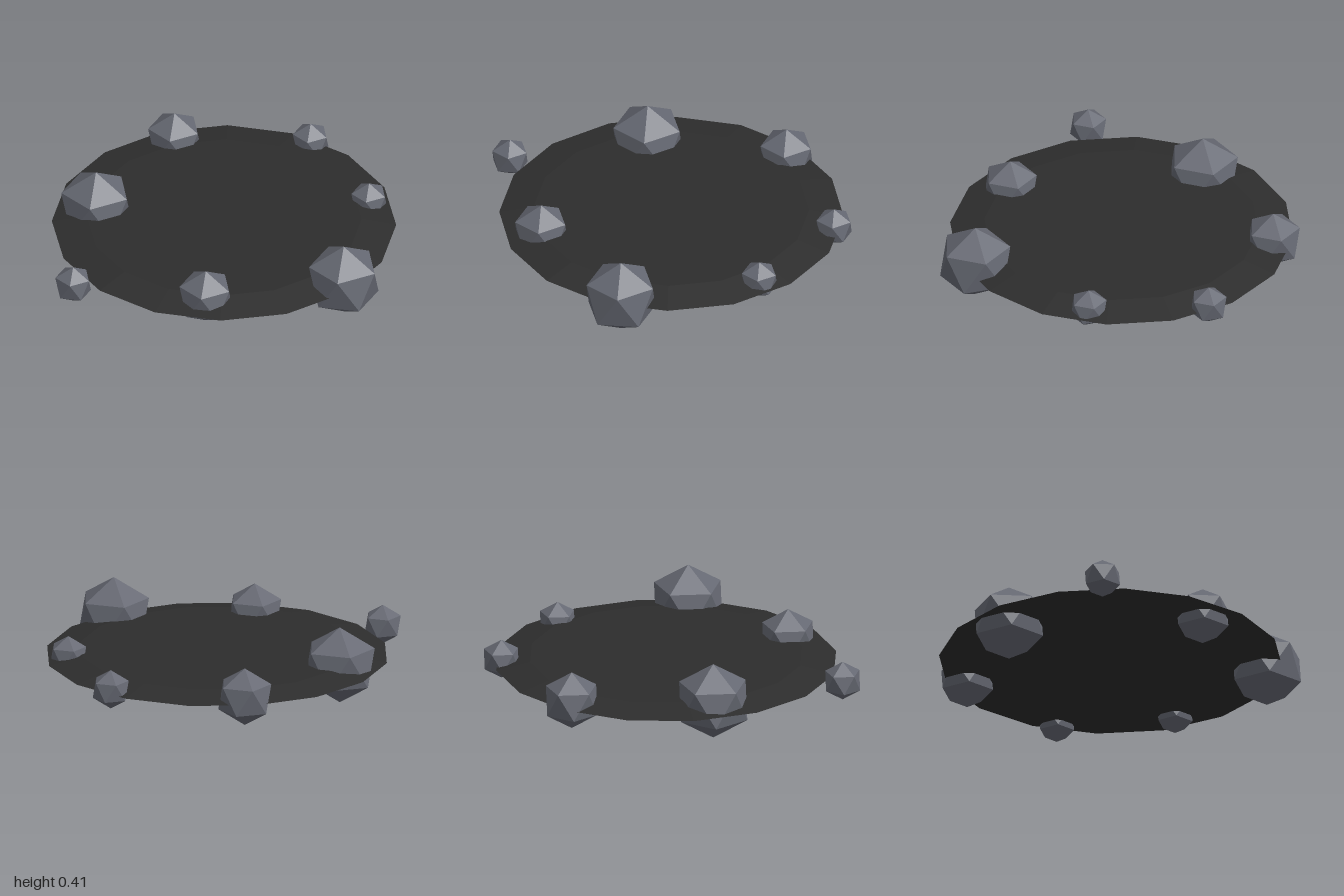
import * as THREE from 'three';

export function createModel() {
  const model = new THREE.Group();
  model.name = 'stoneRing';

  const ashMaterial = new THREE.MeshStandardMaterial({ color: 0x2d2d2d, flatShading: true });
  ashMaterial.name = 'charcoal';
  const stoneMaterial = new THREE.MeshStandardMaterial({ color: 0x666973, flatShading: true });
  stoneMaterial.name = 'stone grey';

  // Flat sixteen-sided ash bed with a bevelled rim
  const bed = new THREE.Mesh(new THREE.CylinderGeometry(0.72, 0.9, 0.035, 16), ashMaterial);
  bed.name = 'ashBed';
  bed.position.set(0.07, 0.204, -0.05);
  model.add(bed);

  // Icosahedron turned so that one corner points straight up
  const stoneGeometry = new THREE.IcosahedronGeometry(1, 0);
  stoneGeometry.rotateZ(-Math.atan(2 / (1 + Math.sqrt(5))));

  // Stones around the rim: x, z, radius
  const stones = [
    [0.145, 0.775, 0.205],
    [-0.315, -0.615, 0.205],
    [0.407, -0.775, 0.155],
    [-0.482, 0.387, 0.155],
    [0.745, 0.342, 0.105],
    [0.904, -0.265, 0.105],
    [-0.906, -0.172, 0.105],
  ];
  stones.forEach(([x, z, radius], i) => {
    const stone = new THREE.Mesh(stoneGeometry, stoneMaterial);
    stone.name = `stone${i + 1}`;
    stone.position.set(x, 0.205, z);
    stone.scale.setScalar(radius);
    model.add(stone);
  });

  return model;
}
